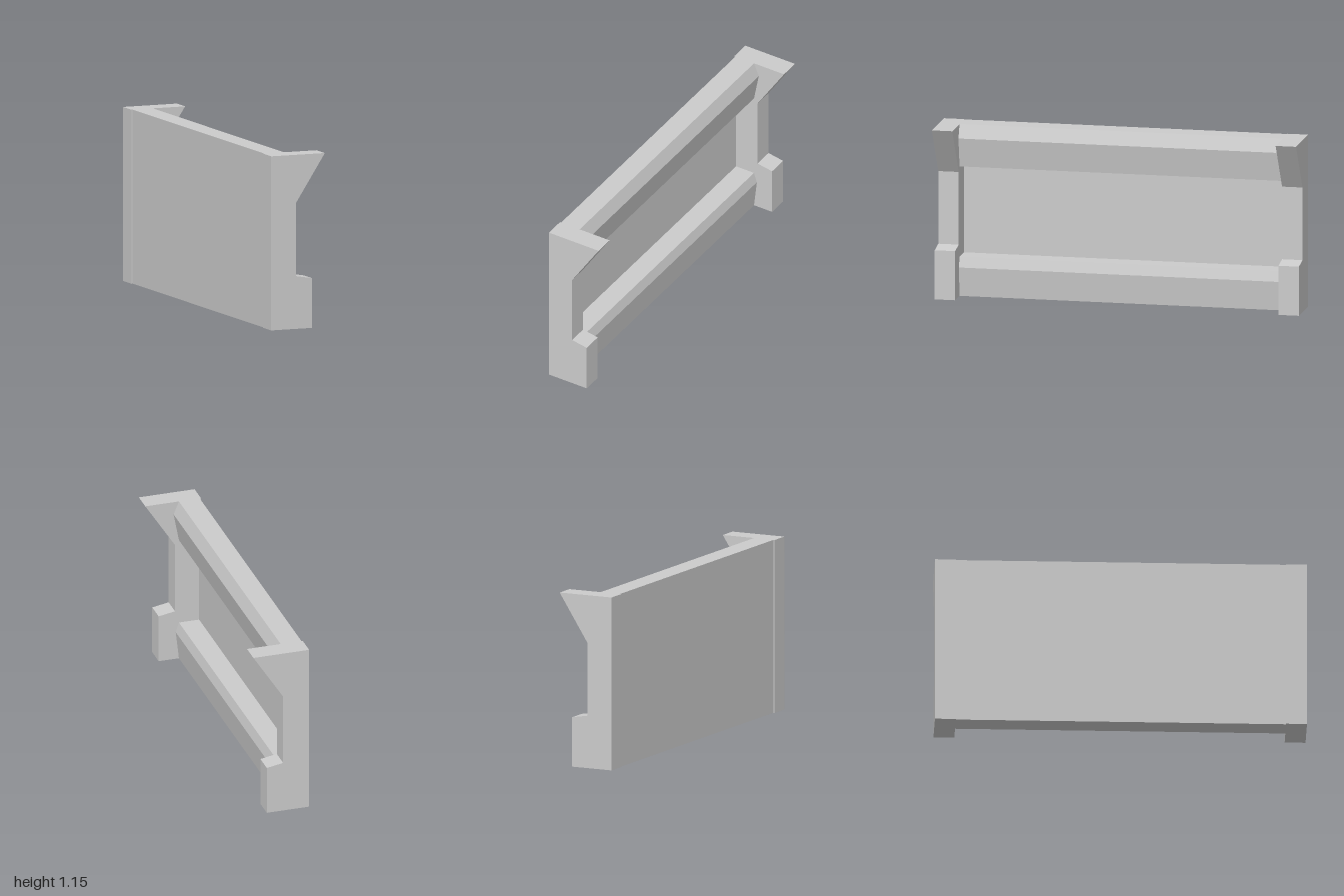
import * as THREE from 'three';

const H = 1.155;      // overall height
const OUT = 1.222;    // half length to the outer faces of the ends
const INN = 1.085;    // half length to the inner faces of the ends
const FACE = -0.183;  // front face of the recessed panel

export function createModel() {
  const model = new THREE.Group();
  model.name = 'bracketPanel';
  const material = new THREE.MeshStandardMaterial({ color: 0xcccccc, flatShading: true });

  // Extrudes a (depth, height) profile along the length from a to b
  function bar(name, profile, a, b) {
    const shape = new THREE.Shape(profile.map(([d, y]) => new THREE.Vector2(d, y)));
    const geometry = new THREE.ExtrudeGeometry(shape, { depth: b - a, bevelEnabled: false });
    geometry.translate(0, 0, a);
    const mesh = new THREE.Mesh(geometry, material);
    mesh.name = name;
    model.add(mesh);
  }

  // End brackets: foot at the bottom, sloping arm at the top
  const bracket = [
    [-0.192, 0], [0.1, 0], [0.1, 0.33], [-0.013, 0.35],
    [-0.013, 0.838], [0.192, H], [-0.192, H],
  ];
  bar('leftBracket', bracket, INN, OUT);
  bar('rightBracket', bracket, -OUT, -INN);

  // Thin panel between the rails
  bar('panel', [[FACE, 0.263], [-0.179, 0.263], [-0.179, 0.87], [FACE, 0.87]], -INN, INN);

  // Rails with a creased back
  bar('lowerRail', [[FACE, 0], [-0.04, 0], [-0.018, 0.195], [-0.04, 0.263], [FACE, 0.263]], -INN, INN);
  bar('upperRail', [[FACE, 0.87], [-0.04, 0.87], [-0.003, 1.065], [-0.04, H], [FACE, H]], -INN, INN);

  // The whole piece stands diagonally
  model.rotation.y = Math.PI / 4;
  const group = new THREE.Group();
  group.name = 'model';
  group.add(model);
  return group;
}
